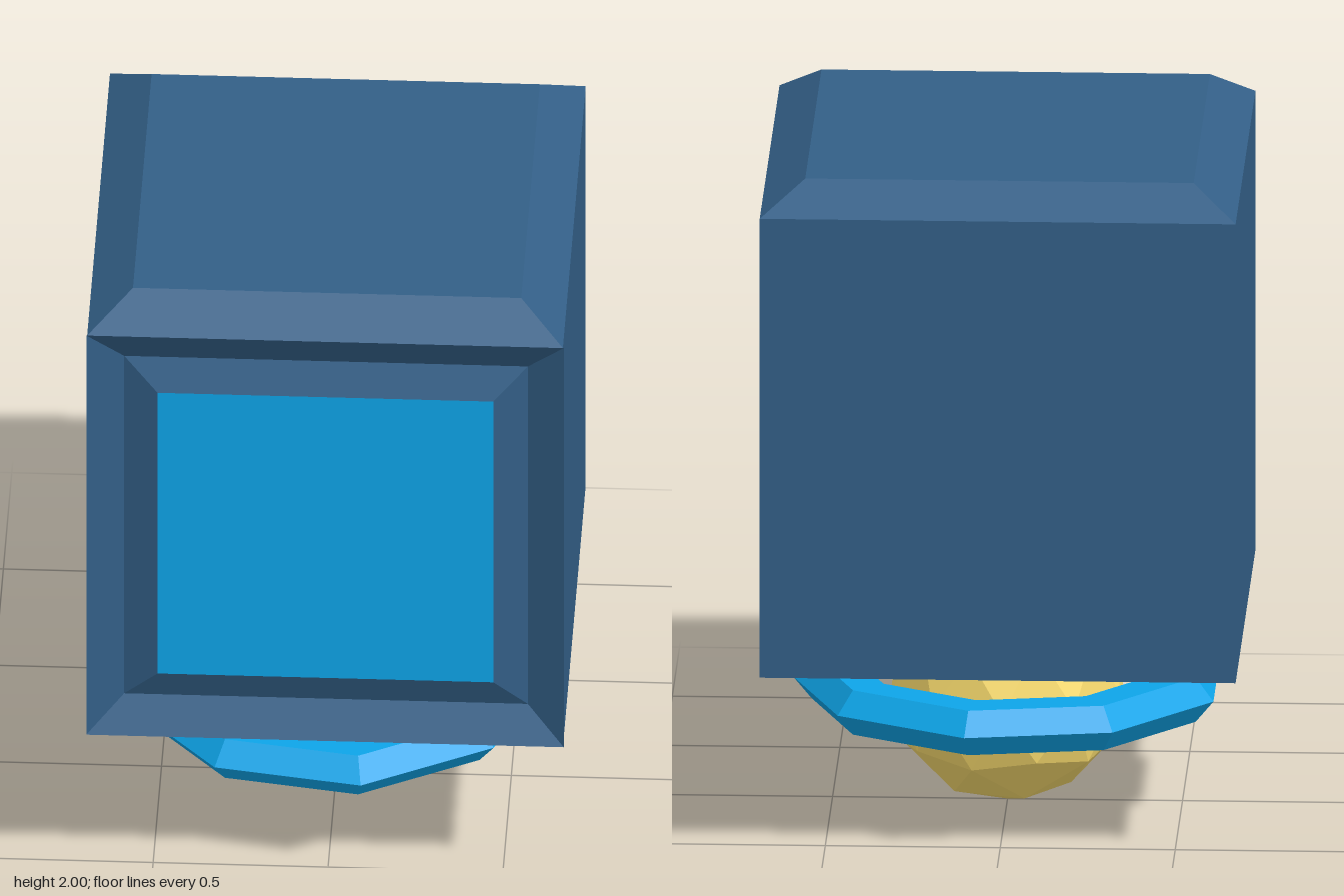
import * as THREE from 'three';

const paint = (color) => new THREE.MeshStandardMaterial({ color, flatShading: true });

// Faceted lathe from [radius, height] pairs
function lathe(profile, segments, start, length = Math.PI * 2) {
  const points = profile.map(([r, h]) => new THREE.Vector2(r, h));
  return new THREE.LatheGeometry(points, segments, start, length).toNonIndexed();
}

// Square lathe: pairs are [half width, height]; sides = 3 leaves the front open
function squareLathe(profile, sides = 4) {
  const corners = profile.map(([w, h]) => [w * Math.SQRT2, h]);
  return lathe(corners, sides, Math.PI / 4, sides * Math.PI / 2);
}

export function createModel() {
  const model = new THREE.Group();
  const add = (name, geometry, material, x = 0, y = 0, z = 0) => {
    geometry.computeVertexNormals();
    const mesh = new THREE.Mesh(geometry, material);
    mesh.name = name;
    mesh.position.set(x, y, z);
    model.add(mesh);
    return mesh;
  };

  const navy = paint(0x335f87);
  const cyan = paint(0x0ea5e9);
  const gold = paint(0xfddf70);

  // Head shell: underside cavity, rim and chamfered lid
  add('headUnderside', squareLathe([[0, 1.5], [0.46, 1.5], [0.46, 0.55], [0.68, 0.55]]), navy);
  add('headWalls', squareLathe([[0.68, 0.55], [0.68, 1.915]], 3), navy);
  add('headLid', squareLathe([[0.68, 1.915], [0.555, 2], [0, 2]]), navy);

  // Front frame dips into a groove, then rises to the screen
  const frame = squareLathe([[0.6825, 0.68], [0.577, 0.62], [0.48, 0.66]]);
  frame.rotateX(Math.PI / 2);
  add('screenFrame', frame, navy, 0, 1.2325, 0);
  add('screen', new THREE.PlaneGeometry(0.96, 0.96), cyan, 0, 1.2325, 0.66);

  // Nine-sided hovering ring with a hexagonal section
  const section = [[0.46, -0.066], [0.57, -0.066], [0.625, 0], [0.57, 0.066], [0.46, 0.066], [0.405, 0], [0.46, -0.066]];
  add('hoverRing', lathe(section, 9, Math.PI / 2), cyan, -0.01, 0.358, 0);

  // Faceted core standing on one of its points
  const core = new THREE.IcosahedronGeometry(0.346, 1);
  core.rotateZ(-Math.atan(2 / (1 + Math.sqrt(5))));
  add('core', core, gold, 0, 0.346, 0);

  return model;
}
